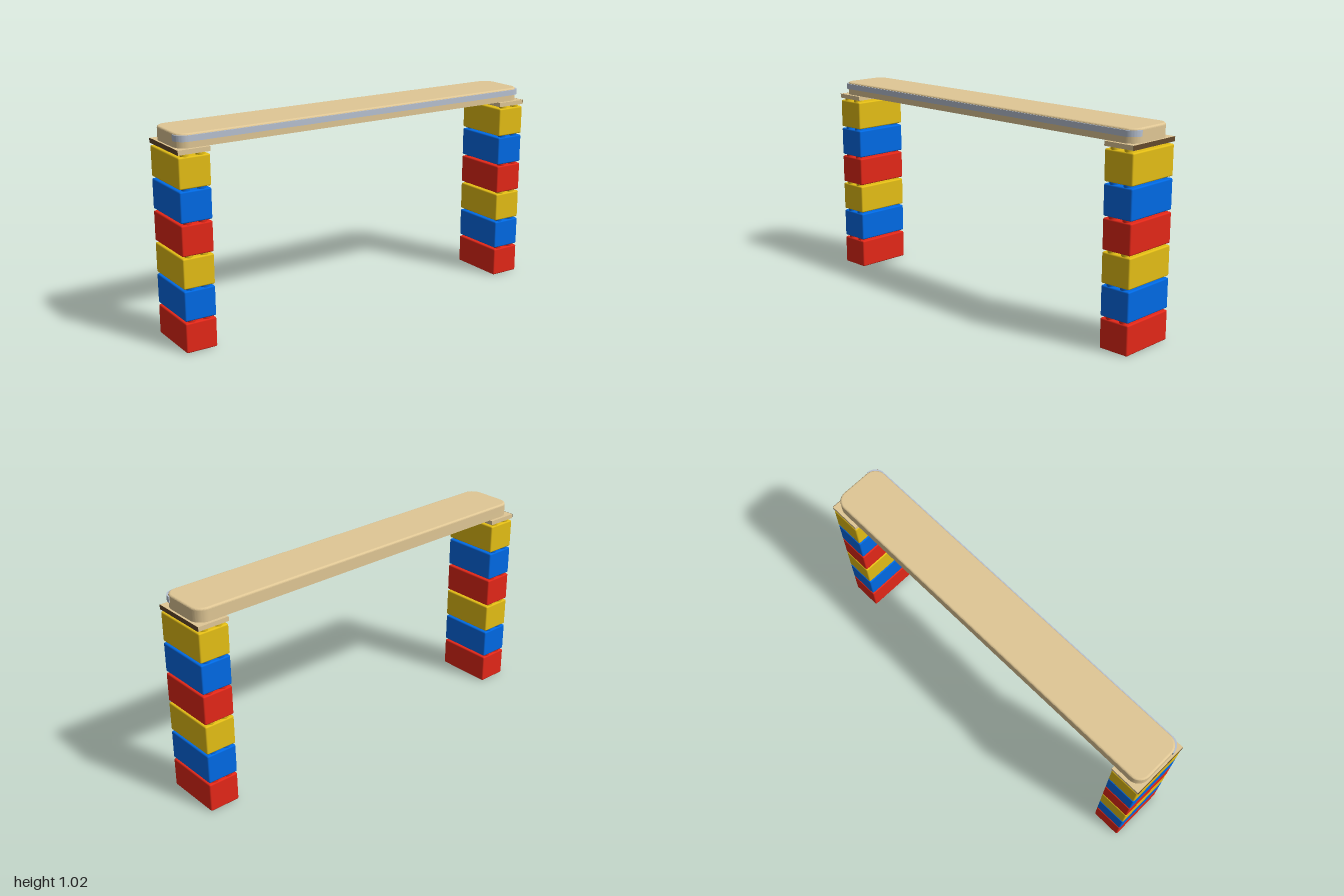
import * as THREE from 'three';
import { toCreasedNormals } from 'three/addons/utils/BufferGeometryUtils.js';
import { RoundedBoxGeometry } from 'three/addons/geometries/RoundedBoxGeometry.js';

const mat = (name, color) => Object.assign(new THREE.MeshStandardMaterial({ color }), { name });

// Outline of a rounded rectangle in plan, as [x, z] points
const STEPS = 14;
function outline(hx, hz, r) {
  const pts = [];
  [[1, 1], [-1, 1], [-1, -1], [1, -1]].forEach(([sx, sz], c) => {
    for (let i = 0; i <= STEPS; i++) {
      const a = (c + i / STEPS) * Math.PI / 2;
      pts.push([sx * (hx - r) + r * Math.cos(a), sz * (hz - r) + r * Math.sin(a)]);
    }
  });
  return pts;
}

// Slab with a flat bottom, plan-rounded corners and a softened top edge
function slab(hx, hz, r, y0, y1, fillet) {
  const levels = [[y0, 0]];
  for (let i = 0; i <= 4; i++) {
    const a = i / 4 * Math.PI / 2;
    levels.push([y1 - fillet + fillet * Math.sin(a), fillet * (1 - Math.cos(a))]);
  }
  const pos = [], idx = [];
  levels.forEach(([y, inset]) => outline(hx - inset, hz - inset, r - inset).forEach(([x, z]) => pos.push(x, y, z)));
  const n = pos.length / 3 / levels.length, last = (levels.length - 1) * n;
  const low = pos.length / 3, high = low + 1;
  pos.push(0, y0, 0, 0, y1, 0);
  for (let i = 0; i < n; i++) {
    const j = (i + 1) % n;
    for (let k = 0; k < last; k += n) idx.push(k + i, k + n + i, k + j, k + j, k + n + i, k + n + j);
    idx.push(low, i, j, high, last + j, last + i);
  }
  const g = new THREE.BufferGeometry();
  g.setAttribute('position', new THREE.Float32BufferAttribute(pos, 3));
  g.setIndex(idx);
  return toCreasedNormals(g, 0.15);
}

// U-shaped band that follows the front edge and wraps both front corners
function railGeometry(hx, hz, r, back, thick, height) {
  const front = (a, b, c) => outline(a, b, c).slice(0, 2 * (STEPS + 1));
  const outer = [[hx, back], ...front(hx, hz, r), [-hx, back]];
  const inner = [[hx - thick, back], ...front(hx - thick, hz - thick, r - thick), [-hx + thick, back]];
  const shape = new THREE.Shape([...outer, ...inner.reverse()].map(([x, z]) => new THREE.Vector2(x, -z)));
  const g = new THREE.ExtrudeGeometry(shape, { depth: height, bevelEnabled: false });
  return toCreasedNormals(g.rotateX(-Math.PI / 2), 0.3);
}

export function createModel() {
  const model = new THREE.Group();
  model.name = 'brickLegShelf';
  const red = mat('red', 0xe42718), blue = mat('blue', 0x006ae5), yellow = mat('yellow', 0xe4be15);
  const tan = mat('tan', 0xe0c795), brown = mat('brown', 0x644a2c), grey = mat('grey', 0xb8c2d2);

  const add = (parent, name, geometry, material, x, y, z) => {
    const m = new THREE.Mesh(geometry, material);
    m.name = name;
    m.position.set(x, y, z);
    parent.add(m);
  };

  const pitch = 0.1553, brickH = 0.146;
  const brickGeo = new RoundedBoxGeometry(0.156, brickH, 0.296, 2, 0.007);
  const studGeo = new THREE.CylinderGeometry(0.02, 0.02, 0.014, 20);
  const plateGeo = new THREE.BoxGeometry(0.158, 0.022, 0.296);
  const edgeGeo = new THREE.BoxGeometry(0.002, 0.022, 0.296);

  for (const side of [1, -1]) {
    // Leg: a stack of six studded bricks
    const leg = new THREE.Group();
    leg.name = side > 0 ? 'leftLeg' : 'rightLeg';
    leg.position.x = side * 0.92;
    for (let i = 0; i < 6; i++) {
      const colour = [red, blue, yellow][i % 3];
      add(leg, 'brick', brickGeo, colour, 0, i * pitch + brickH / 2, 0);
      for (const x of [-0.038, 0.038]) for (const z of [-0.125, 0.125])
        add(leg, 'stud', studGeo, colour, x, i * pitch + brickH + 0.004, z);
    }
    // Cap plate with a dark outer edge
    add(leg, 'capPlate', plateGeo, tan, -side * 0.001, 0.945, 0);
    add(leg, 'capPlateEdge', edgeGeo, brown, side * 0.079, 0.945, 0);
    model.add(leg);
  }

  // Deck and the trim rail around its front edge
  add(model, 'deck', slab(0.988, 0.132, 0.06, 0.956, 1.022, 0.01), tan, 0, 0, 0);
  add(model, 'frontRail', railGeometry(0.992, 0.137, 0.055, 0.08, 0.012, 0.028), grey, 0, 0.986, 0);
  return model;
}
